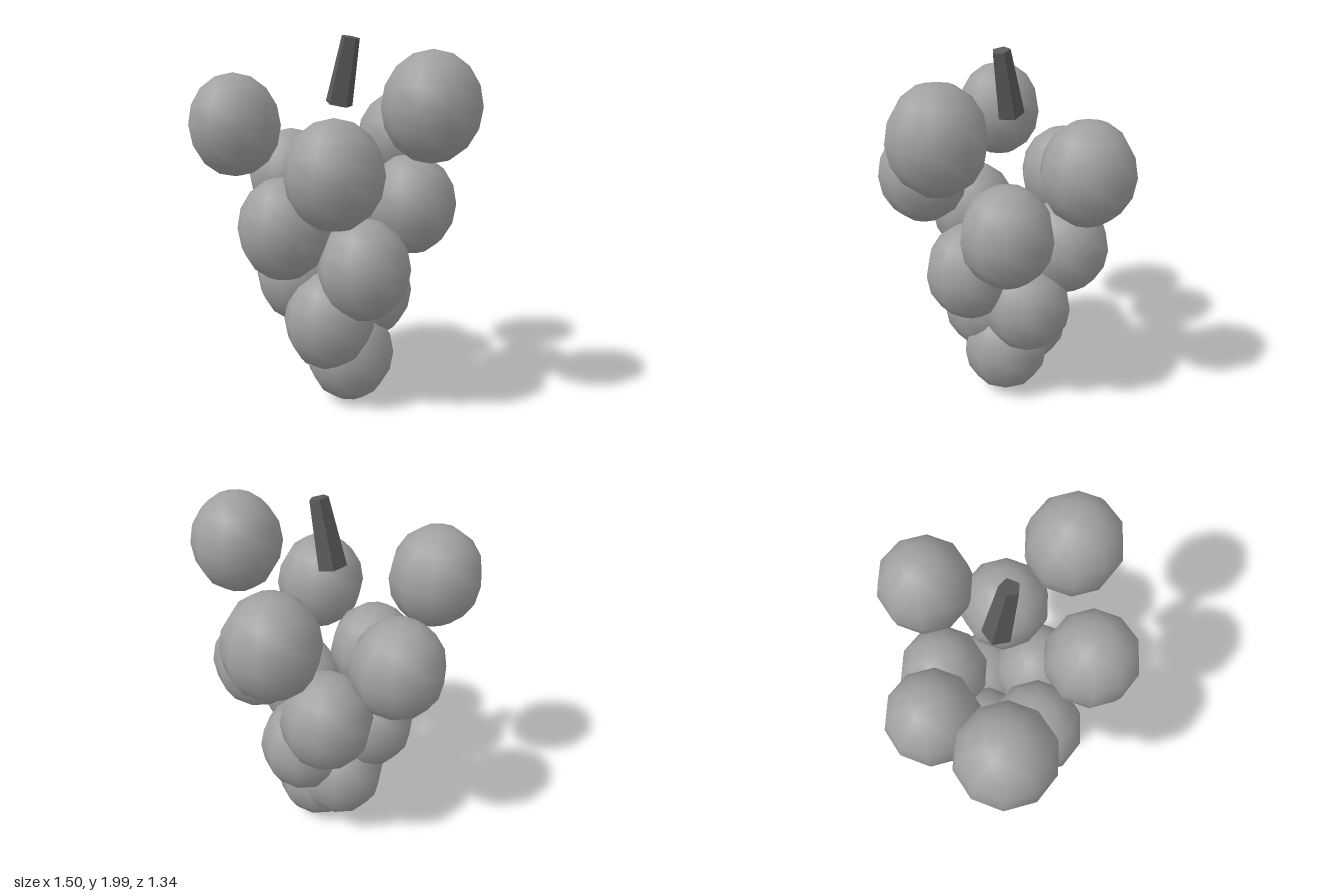
import * as THREE from 'three';

// Berry centres, from the top of the bunch to its tip
const BERRIES = [
  [0.50, 1.65, 0.065], [-0.485, 1.54, 0.435], [-0.04, 1.435, -0.435], [0.20, 1.335, 0.435],
  [-0.505, 1.225, -0.01], [0.24, 1.12, -0.145], [-0.175, 1.02, 0.395], [-0.215, 0.92, -0.21],
  [0.164, 0.808, 0.16], [-0.29, 0.707, 0.155], [-0.012, 0.605, -0.1], [-0.035, 0.505, 0.207],
  [-0.18, 0.39, 0.03], [-0.02, 0.278, 0.055],
];

export function createModel() {
  const group = new THREE.Group();
  group.name = 'grapeBunch';

  const berryGrey = new THREE.MeshStandardMaterial({ color: 0xa0a0a0 });
  berryGrey.name = 'berry grey';
  const stemGrey = new THREE.MeshStandardMaterial({ color: 0x5a5a5a, flatShading: true });
  stemGrey.name = 'stem dark grey';

  // Berries: low-poly spheres, slightly taller than wide
  const berryGeometry = new THREE.SphereGeometry(0.245, 10, 8).scale(1, 1.105, 1);
  BERRIES.forEach(([x, y, z], i) => {
    const berry = new THREE.Mesh(berryGeometry, berryGrey);
    berry.name = `berry${i + 1}`;
    berry.position.set(x, y, z);
    group.add(berry);
  });

  // Stem: tapered five-sided stalk leaning to the model's left
  const stem = new THREE.Mesh(new THREE.CylinderGeometry(0.049, 0.075, 0.35, 5), stemGrey);
  stem.name = 'stem';
  stem.position.set(-0.041, 1.817, 0.064);
  stem.rotation.z = -0.235;
  group.add(stem);

  return group;
}
